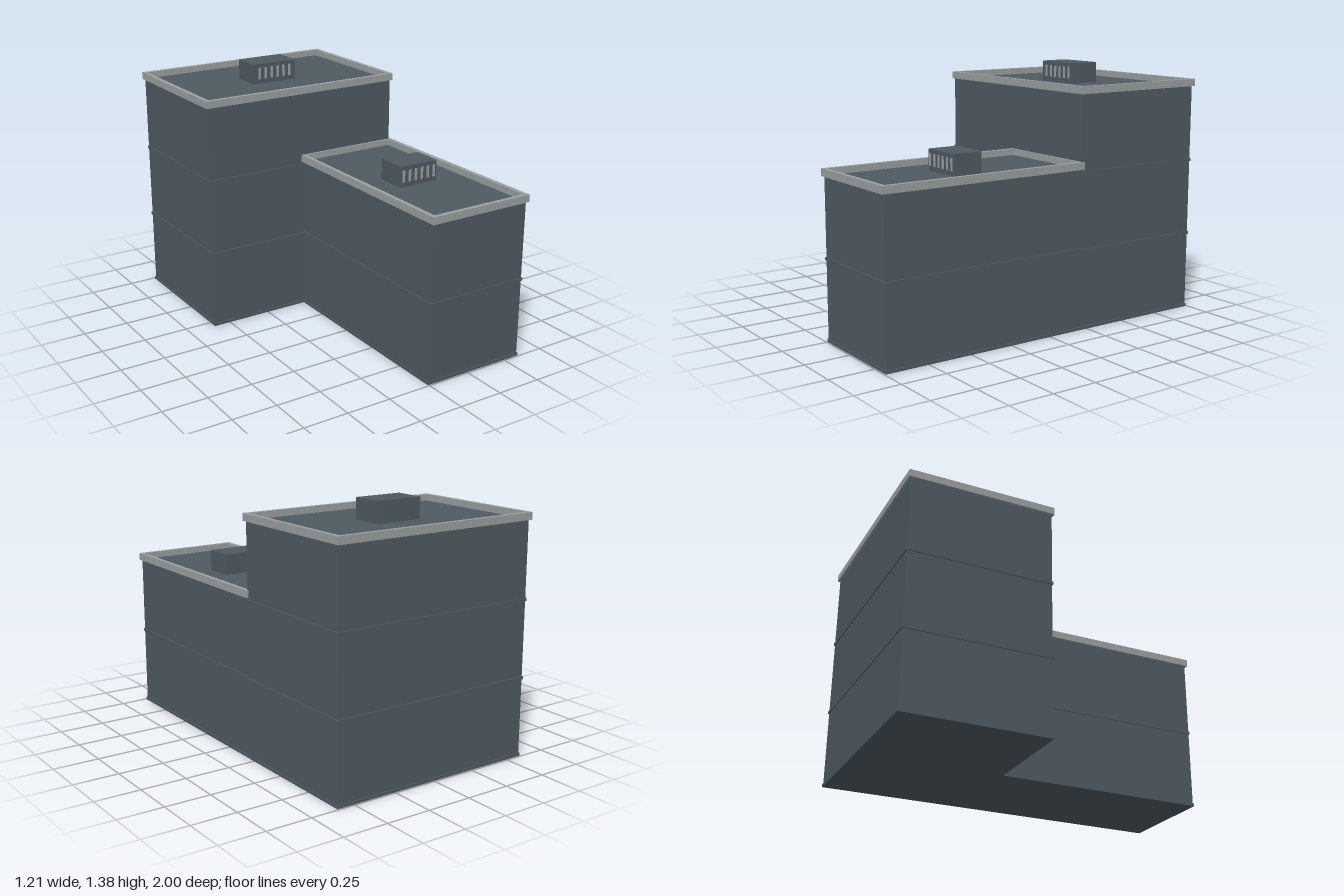
import * as THREE from 'three';

const wall = new THREE.MeshStandardMaterial({ color: 0x4e5a61 });
wall.name = 'slate grey';
const trim = new THREE.MeshStandardMaterial({ color: 0x9a9fa0 });
trim.name = 'light grey';

// Box given by its lower and upper limits on each axis
function block(name, material, [x0, x1], [y0, y1], [z0, z1]) {
  const mesh = new THREE.Mesh(new THREE.BoxGeometry(x1 - x0, y1 - y0, z1 - z0), material);
  mesh.position.set((x0 + x1) / 2, (y0 + y1) / 2, (z0 + z1) / 2);
  mesh.name = name;
  return mesh;
}

// Rectangle outline in plan, grown by d
function outline(path, [x0, x1], [z0, z1], d) {
  path.moveTo(x0 - d, -z1 - d);
  path.lineTo(x1 + d, -z1 - d);
  path.lineTo(x1 + d, -z0 + d);
  path.lineTo(x0 - d, -z0 + d);
  path.closePath();
  return path;
}

// Hollow rim that runs round the roof edge
function parapet(x, z, bottom, height) {
  const shape = outline(new THREE.Shape(), x, z, 0.012);
  shape.holes.push(outline(new THREE.Path(), x, z, -0.012));
  const geometry = new THREE.ExtrudeGeometry(shape, { depth: height, bevelEnabled: false });
  geometry.rotateX(-Math.PI / 2);
  const mesh = new THREE.Mesh(geometry, trim);
  mesh.position.y = bottom;
  mesh.name = 'parapet';
  return mesh;
}

// Rooftop plant box with six vent slats on its front
function roofUnit(cx, halfWidth, roof, z0, z1) {
  const group = new THREE.Group();
  group.name = 'roofUnit';
  group.add(block('unitHousing', wall, [cx - halfWidth, cx + halfWidth], [roof, roof + 0.114], [z0, z1]));
  for (let i = 0; i < 6; i++) {
    const x = cx + (i - 2.5) * 0.0395;
    group.add(block('ventSlat', trim, [x - 0.0075, x + 0.0075], [roof + 0.026, roof + 0.092], [z1 - 0.002, z1 + 0.003]));
  }
  return group;
}

// One volume of the building with floor bands and a parapet
function wing(name, x, z, roof, bands) {
  const group = new THREE.Group();
  group.name = name;
  group.add(block('walls', wall, x, [0, roof], z));
  const d = 0.005;
  for (const y of bands) {
    group.add(block('floorBand', wall, [x[0] - d, x[1] + d], [y, y + 0.016], [z[0] - d, z[1] + d]));
  }
  group.add(parapet(x, z, roof - 0.005, 0.04));
  return group;
}

export function createModel() {
  const model = new THREE.Group();
  model.name = 'building';

  const tall = wing('tallBlock', [-0.592, 0.592], [-0.988, -0.2], 1.27, [0, 0.425, 0.845]);
  tall.add(roofUnit(0, 0.137, 1.27, -0.68, -0.51));

  const low = wing('lowWing', [0, 0.592], [-0.2, 0.988], 0.876, [0, 0.435]);
  low.add(roofUnit(0.295, 0.118, 0.876, 0.31, 0.48));

  model.add(tall, low);
  return model;
}
